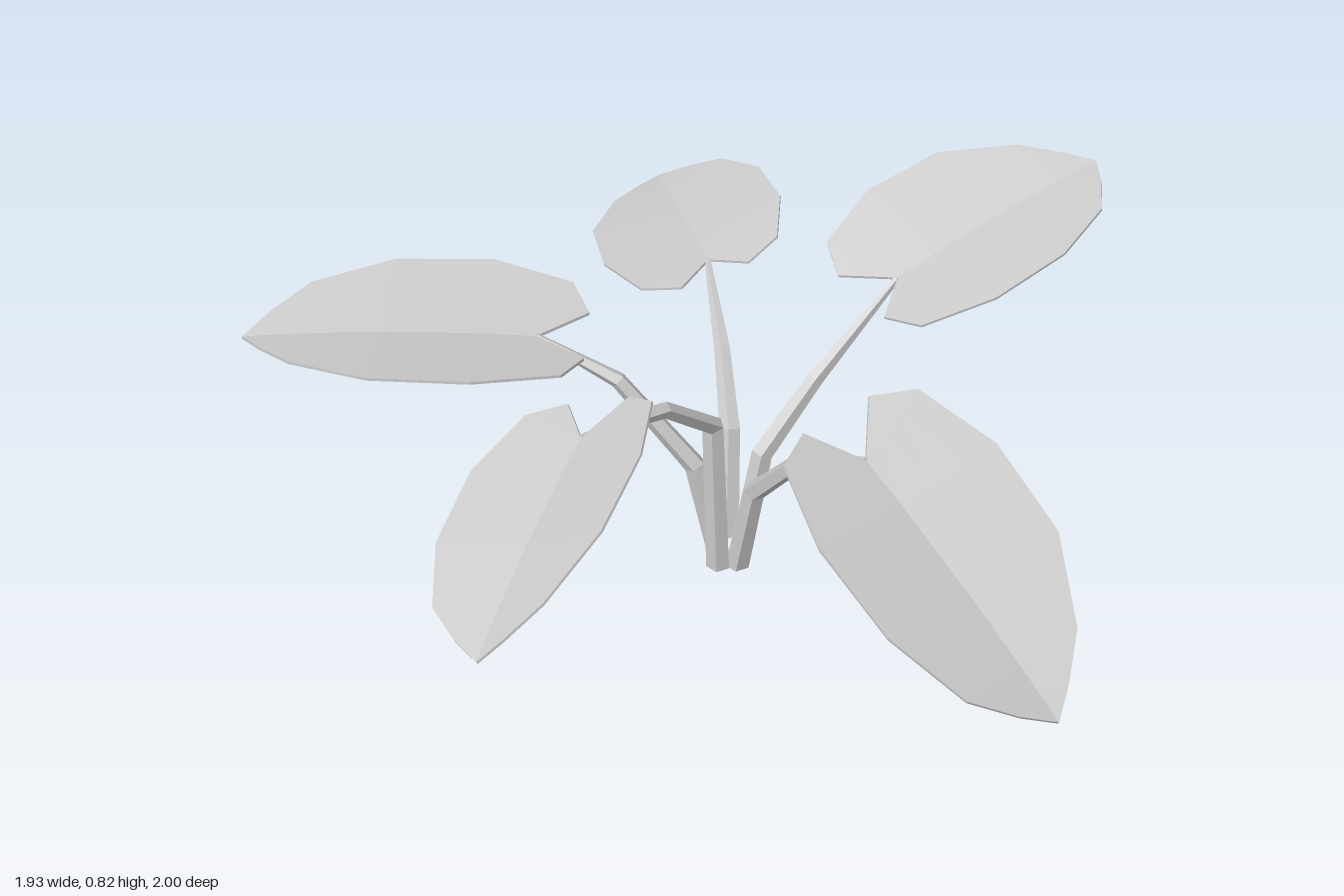
import * as THREE from 'three';

const material = new THREE.MeshStandardMaterial({ color: 0xcccccc, flatShading: true });

// Leaf stations from the lobes to the tip: [along, half width on +x, half width on -x]
const STATIONS = [
  [-0.117, 0.106, 0.096], [-0.073, 0.211, 0.201], [0.12, 0.277, 0.269], [0.35, 0.265, 0.263],
  [0.54, 0.163, 0.185], [0.624, 0.07, 0.084],
];
const LENGTH = 0.676, WIDTH = 0.546, THICKNESS = 0.007, STRIPS = 3;

// Closed outline: notch, one side out to the tip, the other side back
const OUTLINE = [
  [0, 0], ...STATIONS.map(([u, a]) => [u, a]),
  [LENGTH, 0], ...STATIONS.map(([u, , b]) => [u, -b]).reverse(),
];

// Blade height: slightly arched along the midrib, folded up to both sides
function bladeHeight(u, v) {
  const t = u / LENGTH;
  return 0.05 * t * (1 - t) + 0.16 * Math.abs(v);
}

// Thin closed blade: strips run from the midrib out to the rim, on both faces
function leafGeometry() {
  const n = OUTLINE.length, row = STRIPS + 1, under = n * row;
  const positions = [], index = [];
  for (const drop of [0, THICKNESS]) {
    for (const [u, v] of OUTLINE) {
      const mid = Math.max(u, 0);
      for (let s = 0; s <= STRIPS; s++) {
        const f = s / STRIPS, a = mid + (u - mid) * f, b = v * f;
        positions.push(b, bladeHeight(a, b) - drop, a);
      }
    }
  }
  for (let k = 0; k < n; k++) {
    const p = k * row, q = ((k + 1) % n) * row;
    for (let s = 0; s < STRIPS; s++) {
      const a = p + s, b = q + s;
      index.push(a, b, a + 1, b, b + 1, a + 1);
      index.push(under + a, under + a + 1, under + b, under + b, under + a + 1, under + b + 1);
    }
    const a = p + STRIPS, b = q + STRIPS;
    index.push(under + a, a, under + b, a, b, under + b);
  }
  const geometry = new THREE.BufferGeometry();
  geometry.setAttribute('position', new THREE.Float32BufferAttribute(positions, 3));
  geometry.setIndex(index);
  geometry.computeVertexNormals();
  return geometry;
}

// Tapered five-sided stem: each ring of a cylinder is moved onto the path
function stemGeometry(path) {
  const radii = [0.029, 0.026, 0.02, 0.008], last = path.length - 1;
  const geometry = new THREE.CylinderGeometry(1, 1, 1, 5, last);
  const up = new THREE.Vector3(0, 1, 0), p = new THREE.Vector3();
  const turns = path.map((_, i) => {
    const tangent = path[Math.min(i + 1, last)].clone().sub(path[Math.max(i - 1, 0)]).normalize();
    return new THREE.Quaternion().setFromUnitVectors(up, i === 0 ? up : tangent);
  });
  const pos = geometry.attributes.position;
  for (let j = 0; j < pos.count; j++) {
    p.fromBufferAttribute(pos, j);
    const i = Math.round((p.y + 0.5) * last);
    p.set(p.x * radii[i], 0, p.z * radii[i]).applyQuaternion(turns[i]).add(path[i]);
    pos.setXYZ(j, p.x, p.y, p.z);
  }
  geometry.computeVertexNormals();
  return geometry;
}

// Each stalk: stem path (its end holds the leaf), leaf tip, and the span across the leaf
const STALKS = [
  { name: 'right', stem: [[0.13, 0, 0.03], [0.07, 0.25, 0.03], [-0.11, 0.47, 0.03], [-0.3, 0.57, 0.03]],
    tip: [-0.97, 0.555, 0.12], side: [0.07, 0.016, 0.54] },
  { name: 'back', stem: [[0.14, 0, -0.05], [0.13, 0.25, -0.13], [0.09, 0.39, -0.26], [0.02, 0.5, -0.48]],
    tip: [-0.19, 0.43, -1.0], side: [-0.44, -0.14, 0.09] },
  { name: 'backLeft', stem: [[0.18, 0, 0], [0.22, 0.26, -0.03], [0.33, 0.43, -0.11], [0.5, 0.655, -0.22]],
    tip: [0.93, 0.81, -0.57], side: [-0.32, 0.03, -0.39] },
  { name: 'frontLeft', stem: [[0.18, 0, 0.07], [0.22, 0.25, 0.11], [0.34, 0.44, 0.23], [0.49, 0.565, 0.38]],
    tip: [0.94, 0.21, 0.74], side: [0.33, 0.03, -0.4] },
  { name: 'front', stem: [[0.135, 0, 0.08], [0.12, 0.41, 0.09], [0.03, 0.54, 0.23], [-0.11, 0.61, 0.46]],
    tip: [-0.22, 0.43, 1.0], side: [0.4, 0.23, -0.02] },
];

export function createModel() {
  const model = new THREE.Group();
  model.name = 'plant';
  const blade = leafGeometry();
  for (const { name, stem, tip, side } of STALKS) {
    const path = stem.map((p) => new THREE.Vector3(...p));
    const joint = path[path.length - 1];

    const stemMesh = new THREE.Mesh(stemGeometry(path), material);
    stemMesh.name = name + 'Stem';

    // Leaf frame: z runs to the tip, x across the blade, y out of its upper face
    const z = new THREE.Vector3(...tip).sub(joint);
    const span = new THREE.Vector3(...side);
    const size = z.length() / LENGTH;
    z.normalize();
    const y = new THREE.Vector3().crossVectors(z, span).normalize();
    const x = new THREE.Vector3().crossVectors(y, z);
    const leaf = new THREE.Mesh(blade, material);
    leaf.name = name + 'Leaf';
    leaf.quaternion.setFromRotationMatrix(new THREE.Matrix4().makeBasis(x, y, z));
    leaf.position.copy(joint);
    leaf.scale.set(span.length() / WIDTH, size, size);

    model.add(stemMesh, leaf);
  }
  return model;
}
